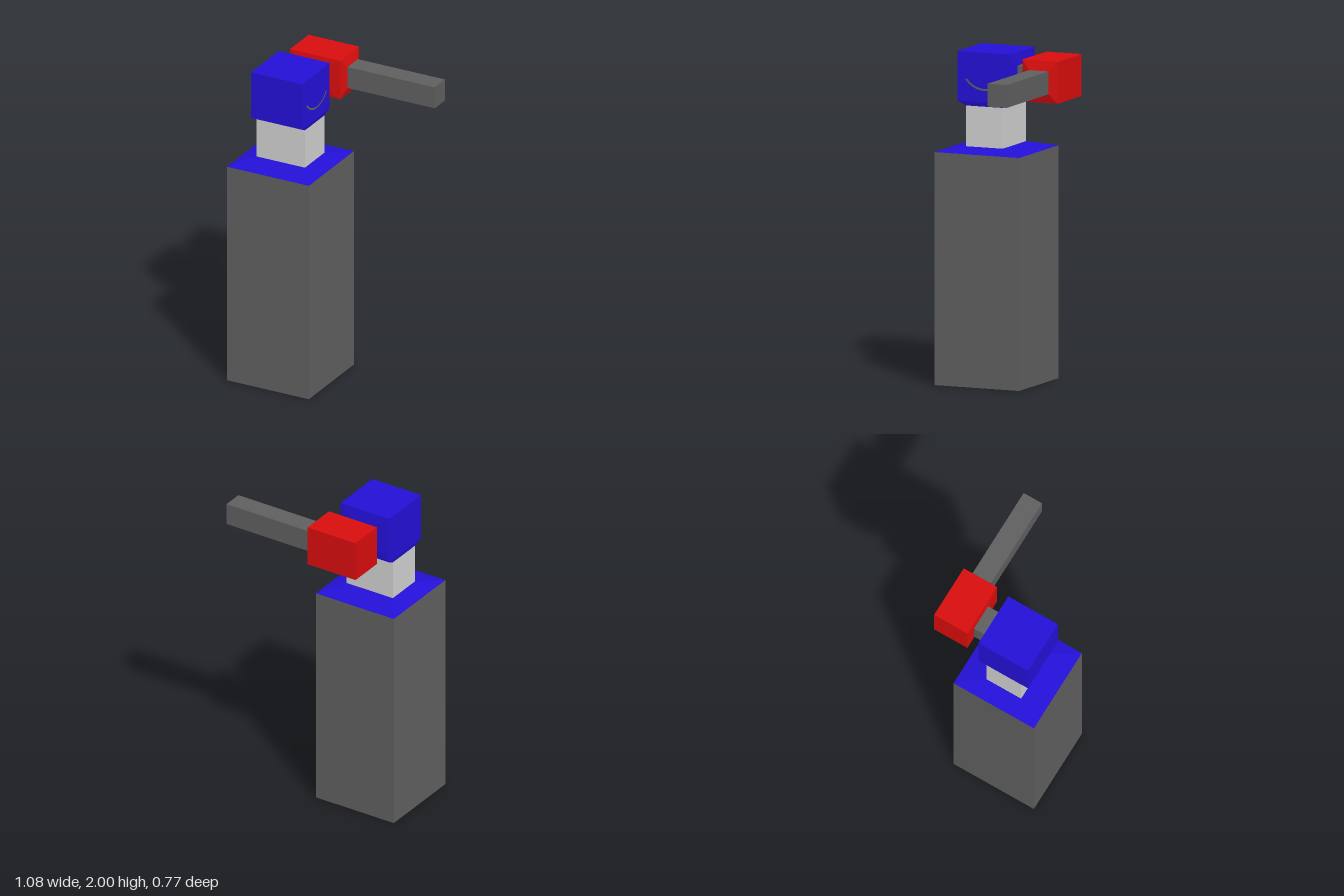
import * as THREE from 'three';

const mat = (name, color) => {
  const m = new THREE.MeshStandardMaterial({ color });
  m.name = name;
  return m;
};

// Six-sided block between two rectangles on one axis (0 = x, 1 = y, 2 = z).
// Each end is [position, lowU, highU, lowV, highV]; u, v are the other axes in x, y, z order.
function block(axis, start, end) {
  const geo = new THREE.BoxGeometry(2, 2, 2);
  const pos = geo.attributes.position;
  const [u, v] = [0, 1, 2].filter((i) => i !== axis);
  for (let i = 0; i < pos.count; i++) {
    const p = [pos.getX(i), pos.getY(i), pos.getZ(i)];
    const r = p[axis] < 0 ? start : end;
    const q = [0, 0, 0];
    q[axis] = r[0];
    q[u] = p[u] < 0 ? r[1] : r[2];
    q[v] = p[v] < 0 ? r[3] : r[4];
    pos.setXYZ(i, ...q);
  }
  geo.computeVertexNormals();
  return geo;
}

export function createModel() {
  const group = new THREE.Group();
  const grey = mat('dark grey', 0x5f5f5f);
  const blue = mat('blue', 0x2410d6);
  const red = mat('red', 0xd80d0d);
  const pale = mat('light grey', 0xd0d0d0);

  const add = (name, geo, material) => {
    const mesh = new THREE.Mesh(geo, material);
    mesh.name = name;
    group.add(mesh);
  };

  // Rectangles shared by neighbouring parts
  const bodyRect = [-0.543, 0.012, -0.172, 0.384];
  const neckRect = [-0.43, -0.1, -0.012, 0.228];
  const headRect = [-0.437, -0.092, -0.063, 0.28];
  const axleRect = [-0.348, -0.183, 1.785, 1.922];
  const armRect = [1.785, 1.922, -0.335, -0.208];

  // Tall column with a blue underside and a sloped shoulder
  add('column', block(1, [0, ...bodyRect], [1.4, ...bodyRect]), [grey, grey, blue, blue, grey, grey]);
  add('shoulder', block(1, [1.4, ...bodyRect], [1.43, ...neckRect]), blue);
  add('neck', block(1, [1.43, ...neckRect], [1.675, ...neckRect]), pale);

  // Head, tapering to the neck below and to the axle behind
  add('headTaper', block(1, [1.675, ...neckRect], [1.702, ...headRect]), blue);
  add('head', block(1, [1.702, ...headRect], [2, ...headRect]), blue);
  add('headBack', block(2, [-0.071, ...axleRect], [-0.063, -0.437, -0.092, 1.702, 2]), blue);

  // Curved mark on the side of the head
  const arc = new THREE.RingGeometry(0.145, 0.157, 24, 1, Math.PI * 1.5 - 0.92, 1.84);
  arc.rotateY(Math.PI / 2).translate(-0.09, 1.928, 0.102);
  add('curvedMark', arc, grey);

  // Axle and hub
  add('axle', block(2, [-0.15, ...axleRect], [-0.069, ...axleRect]), grey);
  add('hub', block(2, [-0.385, -0.412, -0.07, 1.728, 1.98], [-0.155, -0.412, -0.07, 1.728, 1.98]), red);
  add('hubFront', block(2, [-0.155, -0.412, -0.07, 1.728, 1.98], [-0.148, ...axleRect]), red);
  add('hubSide', block(0, [-0.07, 1.728, 1.98, -0.385, -0.155], [-0.051, ...armRect]), red);

  // Arm
  add('arm', block(0, [-0.051, ...armRect], [0.54, ...armRect]), grey);

  return group;
}
